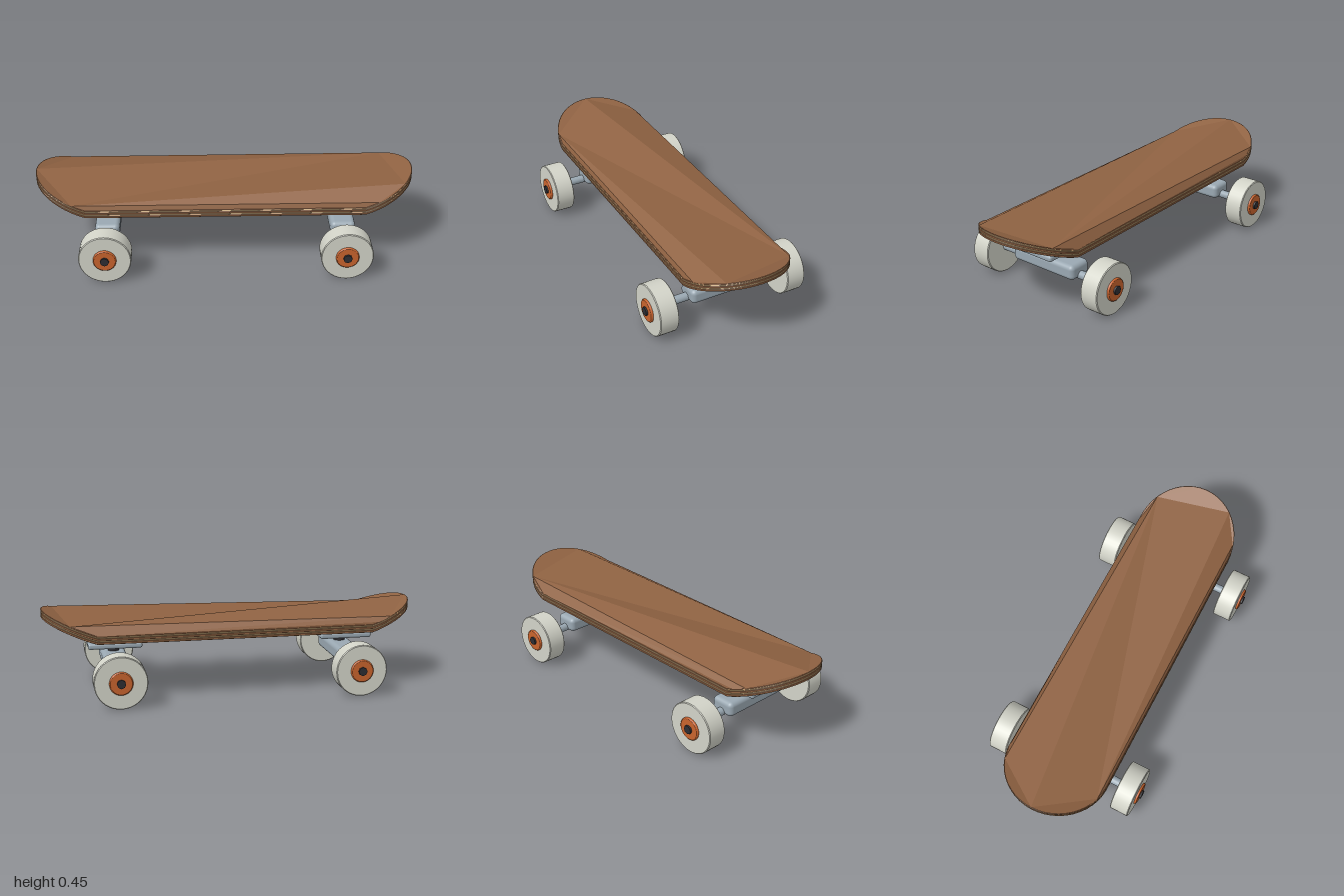
import * as THREE from 'three';
import { RoundedBoxGeometry } from 'three/addons/geometries/RoundedBoxGeometry.js';

const mat = (name, color) => {
  const m = new THREE.MeshStandardMaterial({ color });
  m.name = name;
  return m;
};

// Deck outline: straight sides with half-round ends, turning upward past the straights
const HALF = 0.725, WIDE = 0.275, RISE = 0.1, SEG = 24, COUNT = 2 * (SEG + 1);

function outlinePoint(i, inset, y) {
  const k = i % COUNT, right = k <= SEG;
  const a = right ? -Math.PI / 2 + (Math.PI * k) / SEG : Math.PI / 2 + (Math.PI * (k - SEG - 1)) / SEG;
  const r = WIDE - inset;
  const bend = Math.pow(Math.abs(Math.cos(a)), 1.05);
  return [(right ? HALF : -HALF) + r * Math.cos(a), y + RISE * bend, -r * Math.sin(a)];
}

// Cap indices: a central quad, with each side filled by halving the outline between its ends
function capTriangles() {
  const tris = [];
  const fill = (i, j) => {
    if (j - i < 2) return;
    const m = (i + j) >> 1;
    tris.push([i, m, j]);
    fill(i, m);
    fill(m, j);
  };
  const [a, b, c, d] = [7, 20, 37, 47];
  tris.push([a, b, d], [b, c, d]);
  fill(a, b);
  fill(b, c);
  fill(c, d);
  fill(d, a + COUNT);
  return tris;
}

function toGeometry(points) {
  const g = new THREE.BufferGeometry();
  g.setAttribute('position', new THREE.Float32BufferAttribute(points.flat(), 3));
  g.computeVertexNormals();
  return g;
}

function capGeometry(inset, y, up) {
  const pts = [];
  for (const [i, j, k] of capTriangles()) {
    for (const n of up ? [i, j, k] : [i, k, j]) pts.push(outlinePoint(n, inset, y));
  }
  return toGeometry(pts);
}

// Edge band through a list of [inset, y] rings, from bottom to top
function edgeGeometry(rings) {
  const pts = [];
  for (let r = 0; r < rings.length - 1; r++) {
    for (let i = 0; i < COUNT; i++) {
      const a = outlinePoint(i, ...rings[r]), b = outlinePoint(i + 1, ...rings[r]);
      const c = outlinePoint(i + 1, ...rings[r + 1]), d = outlinePoint(i, ...rings[r + 1]);
      pts.push(a, b, c, a, c, d);
    }
  }
  return toGeometry(pts);
}

export function createModel() {
  const wood = mat('brown wood', 0x8f6242);
  const pale = mat('pale veneer', 0xc0a274);
  const black = mat('black underside', 0x1a1a1d);
  const metal = mat('grey metal', 0x9aa8b2);
  const rubber = mat('off-white wheel', 0xd2d3c8);
  const orange = mat('orange hub', 0xc8632d);
  const dark = mat('dark bolt', 0x2d2d32);

  const model = new THREE.Group();
  model.name = 'skateboard';

  const add = (parent, name, geometry, material, x = 0, y = 0, z = 0) => {
    const mesh = new THREE.Mesh(geometry, material);
    mesh.name = name;
    mesh.position.set(x, y, z);
    parent.add(mesh);
    return mesh;
  };

  // Deck of stacked plies
  const deck = new THREE.Group();
  deck.name = 'deck';
  model.add(deck);
  const plies = [
    [0.307, 0.320, wood], [0.320, 0.326, pale], [0.326, 0.339, wood],
    [0.339, 0.345, pale], [0.345, 0.350, wood],
  ];
  const BEVEL = 0.003;
  plies.forEach(([low, high, material], n) => {
    const edge = Math.min(0.002, (high - low) / 3);
    const rings = [[BEVEL, low], [0, low + edge], [0, high - edge], [BEVEL, high]];
    add(deck, 'ply' + (n + 1), edgeGeometry(rings), material);
  });
  add(deck, 'deckTop', capGeometry(BEVEL, 0.350, true), wood);
  add(deck, 'deckUnderside', capGeometry(BEVEL, 0.307, false), black);

  // Shared wheel parts, turned around the axle
  const lathe = (profile) =>
    new THREE.LatheGeometry(profile.map(([r, h]) => new THREE.Vector2(r, h)), 40).rotateX(Math.PI / 2);
  // Repeated profile points keep the flat faces crisp
  const wheelGeometry = lathe([
    [0, -0.051], [0.132, -0.051], [0.132, -0.051], [0.136, -0.047], [0.136, -0.047],
    [0.136, 0.047], [0.136, 0.047], [0.132, 0.051], [0.132, 0.051], [0, 0.051],
  ]);
  const hubGeometry = lathe([
    [0.06, 0], [0.06, 0.007], [0.058, 0.01], [0.055, 0.012], [0.055, 0.012], [0, 0.012],
  ]);
  const nutGeometry = new THREE.CylinderGeometry(0.023, 0.023, 0.022, 8).rotateX(Math.PI / 2);

  // Trucks, one under each end
  for (const side of [-1, 1]) {
    const truck = new THREE.Group();
    truck.name = side > 0 ? 'leftTruck' : 'rightTruck';
    truck.position.x = side * 0.625;
    model.add(truck);

    add(truck, 'baseplate', new RoundedBoxGeometry(0.283, 0.031, 0.26, 3, 0.012), metal, 0, 0.261, 0);
    add(truck, 'hanger', new RoundedBoxGeometry(0.13, 0.08, 0.4, 4, 0.024), metal, 0, 0.171, 0);
    add(truck, 'axle', new THREE.CylinderGeometry(0.022, 0.022, 0.66, 20).rotateX(Math.PI / 2), metal, 0, 0.147, 0);
    add(truck, 'kingpin', new THREE.CylinderGeometry(0.03, 0.03, 0.045, 20), dark, 0, 0.228, 0);
    add(truck, 'kingpinNut', new THREE.CylinderGeometry(0.03, 0.03, 0.02, 8), dark, 0, 0.127, 0);

    for (const end of [-1, 1]) {
      add(truck, 'mountingBolt', new THREE.CylinderGeometry(0.014, 0.014, 0.022, 12), dark, 0, 0.283, end * 0.113);

      const wheel = new THREE.Group();
      wheel.name = end > 0 ? 'frontWheel' : 'backWheel';
      wheel.position.set(0, 0.139, end * 0.363);
      if (end < 0) wheel.rotation.y = Math.PI;
      truck.add(wheel);
      add(wheel, 'tyre', wheelGeometry, rubber);
      add(wheel, 'hub', hubGeometry, orange, 0, 0, 0.05);
      add(wheel, 'axleNut', nutGeometry, dark, 0, 0, 0.061);
    }
  }
  return model;
}
